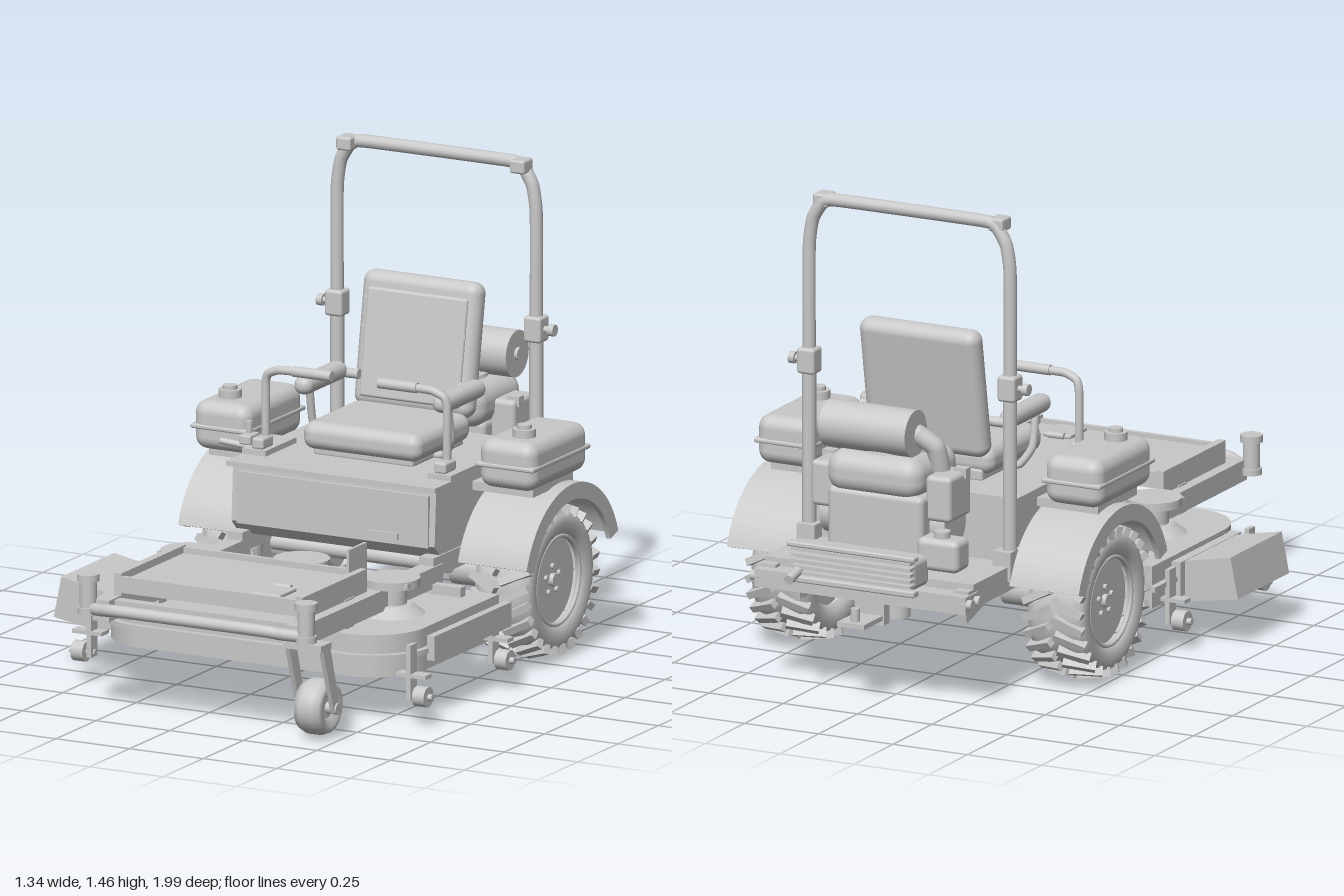
import * as THREE from 'three';
import { mergeGeometries } from 'three/addons/utils/BufferGeometryUtils.js';
import { RoundedBoxGeometry } from 'three/addons/geometries/RoundedBoxGeometry.js';

const grey = new THREE.MeshStandardMaterial({ color: 0xc8c8c8, side: THREE.DoubleSide });
grey.name = 'plain grey';

export function createModel() {
  const root = new THREE.Group();
  root.name = 'ridingMower';
  const V = (p) => new THREE.Vector3(...p);

  // ---- helpers ----
  const add = (name, geo, pos = [0, 0, 0], rot = [0, 0, 0], parent = root) => {
    const m = new THREE.Mesh(geo, grey);
    m.name = name;
    m.position.set(...pos);
    m.rotation.set(...rot);
    parent.add(m);
    return m;
  };
  // box given by min/max ranges; r > 0 rounds it
  const box = (name, [x0, x1], [y0, y1], [z0, z1], r = 0, rot) => {
    const s = [Math.abs(x1 - x0), y1 - y0, Math.abs(z1 - z0)];
    const g = r ? new RoundedBoxGeometry(...s, 4, r) : new THREE.BoxGeometry(...s);
    return add(name, g, [(x0 + x1) / 2, (y0 + y1) / 2, (z0 + z1) / 2], rot);
  };
  // cylinder between two points
  const rod = (name, a, b, r, r2 = r, seg = 24) => {
    const A = V(a), B = V(b), d = B.clone().sub(A);
    const m = add(name, new THREE.CylinderGeometry(r2, r, d.length(), seg), A.clone().lerp(B, 0.5).toArray());
    m.quaternion.setFromUnitVectors(new THREE.Vector3(0, 1, 0), d.normalize());
    return m;
  };
  // bent pipe with rounded ends
  const pipe = (name, pts, r) => {
    const c = new THREE.CatmullRomCurve3(pts.map(V), false, 'catmullrom', 0.25);
    add(name, new THREE.TubeGeometry(c, pts.length * 10, r, 14));
    for (const p of [pts[0], pts[pts.length - 1]]) add(name + 'End', new THREE.SphereGeometry(r, 14, 10), p);
  };
  // side profile of [z, y] points extruded from x0 to x1
  const profile = (name, shape, x0, x1, pos = [0, 0]) => {
    const sh = Array.isArray(shape) ? new THREE.Shape(shape.map((p) => new THREE.Vector2(...p))) : shape;
    const g = new THREE.ExtrudeGeometry(sh, { depth: x1 - x0, bevelEnabled: false, curveSegments: 32 });
    g.rotateY(-Math.PI / 2);
    add(name, g, [x1, pos[1], pos[0]]);
  };
  const both = (fn) => [-1, 1].forEach(fn);

  // ---- drive wheels and fenders ----
  const arc = (R, r, a) => {
    const s = new THREE.Shape();
    s.absarc(0, 0, R, a, Math.PI - a, false);
    s.absarc(0, 0, r, Math.PI - a, a, true);
    return s;
  };
  const tyre = [[0.13, -0.07], [0.145, -0.088], [0.175, -0.098], [0.203, -0.09], [0.218, -0.06],
    [0.218, 0.06], [0.203, 0.09], [0.175, 0.098], [0.145, 0.088], [0.13, 0.07]];
  const lugs = [];
  for (let i = 0; i < 26; i++) for (const s of [-1, 1]) {
    const g = new THREE.BoxGeometry(0.1, 0.03, 0.022);
    g.rotateZ(-s * 0.16).rotateY(s * 0.45).translate(s * 0.052, 0.218, 0);
    lugs.push(g.rotateX(((i + (s > 0 ? 0.5 : 0)) / 26) * Math.PI * 2));
  }
  const lugGeo = mergeGeometries(lugs);
  both((s) => {
    const w = new THREE.Group();
    w.name = 'driveWheel';
    w.position.set(s * 0.465, 0.235, -0.313);
    root.add(w);
    const z90 = [0, 0, Math.PI / 2];
    add('tyre', new THREE.LatheGeometry(tyre.map((p) => new THREE.Vector2(...p)), 48), [0, 0, 0], z90, w);
    add('treadLugs', lugGeo, [0, 0, 0], [0, 0, 0], w);
    add('rim', new THREE.CylinderGeometry(0.135, 0.135, 0.12, 40), [0, 0, 0], z90, w);
    add('rimRing', new THREE.TorusGeometry(0.135, 0.007, 8, 40), [s * 0.08, 0, 0], [0, Math.PI / 2, 0], w);
    add('hub', new THREE.CylinderGeometry(0.02, 0.02, 0.15, 20), [0, 0, 0], z90, w);
    for (let i = 0; i < 5; i++) {
      const a = (i / 5) * Math.PI * 2;
      add('wheelBolt', new THREE.CylinderGeometry(0.009, 0.009, 0.14, 8), [0, 0.042 * Math.cos(a), 0.042 * Math.sin(a)], z90, w);
    }
    const x = s * 0.475;
    profile('fender', arc(0.3, 0.285, 0.32), x - 0.117, x + 0.117, [-0.32, 0.235]);
    profile('fenderLip', arc(0.3, 0.25, 0.32), s * 0.584 - 0.008, s * 0.584 + 0.008, [-0.32, 0.235]);
    rod('wheelMotor', [s * 0.2, 0.235, -0.313], [s * 0.4, 0.235, -0.313], 0.05);

    // fuel tank
    box('fuelTank', [s * 0.388, s * 0.58], [0.55, 0.7], [-0.45, -0.095], 0.04);
    box('tankSeam', [s * 0.385, s * 0.583], [0.615, 0.63], [-0.453, -0.092], 0.006);
    rod('tankCap', [s * 0.5, 0.69, -0.19], [s * 0.5, 0.725, -0.19], 0.035);
    rod('tankCapTop', [s * 0.5, 0.72, -0.19], [s * 0.5, 0.737, -0.19], 0.022);
    box('tankBracket', [s * 0.33, s * 0.55], [0.525, 0.552], [-0.4, -0.15]);
  });

  // ---- tractor body ----
  profile('body', [[0.075, 0.575], [0.085, 0.4], [0.04, 0.355], [-0.55, 0.355], [-0.55, 0.575]], -0.345, 0.345);
  box('bodyTop', [-0.355, 0.355], [0.57, 0.585], [-0.55, 0.1]);
  box('frontPanel', [-0.325, 0.325], [0.395, 0.555], [0.07, 0.089]);
  box('panelHandle', [0.125, 0.225], [0.41, 0.43], [0.085, 0.098]);
  rod('crossAxle', [-0.3, 0.3, -0.1], [0.3, 0.3, -0.1], 0.025);
  both((s) => {
    box('mainRail', [s * 0.3, s * 0.35], [0.31, 0.37], [-0.85, 0.1]);
    box('leverBase', [s * 0.275, s * 0.355], [0.585, 0.602], [-0.19, 0.0]);
    box('leverPivot', [s * 0.29, s * 0.33], [0.6, 0.635], [-0.08, -0.01], 0.008);
    // steering lever
    pipe('steeringLever', [[s * 0.308, 0.61, -0.06], [s * 0.308, 0.79, -0.06], [s * 0.298, 0.825, -0.058],
      [s * 0.26, 0.841, -0.055], [s * 0.19, 0.843, -0.055]], 0.013);
    rod('leverGrip', [s * 0.21, 0.843, -0.055], [s * 0.08, 0.843, -0.055], 0.016);
    // armrest
    box('armrest', [s * 0.205, s * 0.265], [0.745, 0.802], [-0.395, -0.14], 0.027);
    pipe('armrestSupport', [[s * 0.235, 0.75, -0.2], [s * 0.235, 0.65, -0.22], [s * 0.2, 0.595, -0.24], [s * 0.12, 0.59, -0.24]], 0.012);
    rod('armrestHinge', [s * 0.17, 0.765, -0.39], [s * 0.25, 0.765, -0.39], 0.015);
  });
  // small control cluster beside the seat
  rod('parkLever', [-0.34, 0.59, -0.06], [-0.45, 0.605, -0.04], 0.01);
  box('controlBox', [-0.39, -0.35], [0.6, 0.63], [-0.1, -0.04], 0.006);
  rod('controlKnob', [-0.375, 0.62, -0.08], [-0.375, 0.665, -0.08], 0.01);

  // ---- seat ----
  box('seatCushion', [-0.2, 0.2], [0.6, 0.685], [-0.42, -0.075], 0.035);
  box('seatBase', [-0.17, 0.17], [0.58, 0.62], [-0.42, -0.1], 0.01);
  const back = new THREE.Group();
  back.name = 'seatBack';
  back.position.set(0, 0.865, -0.457);
  back.rotation.x = -0.17;
  root.add(back);
  add('backCushion', new RoundedBoxGeometry(0.4, 0.41, 0.075, 4, 0.035), [0, 0, 0], [0, 0, 0], back);
  add('backPad', new RoundedBoxGeometry(0.34, 0.33, 0.02, 3, 0.009), [0, -0.01, 0.036], [0, 0, 0], back);
  for (const y of [0.125, 0.04]) add('backSeam', new THREE.BoxGeometry(0.35, 0.006, 0.006), [0, y, 0.046], [0, 0, 0], back);

  // ---- roll bar ----
  pipe('rollBar', [[-0.338, 0.95, -0.56], [-0.338, 1.28, -0.56], [-0.325, 1.37, -0.56], [-0.29, 1.425, -0.56], [-0.24, 1.435, -0.56],
    [0.24, 1.435, -0.56], [0.29, 1.425, -0.56], [0.325, 1.37, -0.56], [0.338, 1.28, -0.56], [0.338, 0.95, -0.56]], 0.02);
  both((s) => {
    rod('rollBarPost', [s * 0.338, 0.34, -0.56], [s * 0.338, 0.95, -0.56], 0.021);
    box('rollBarHinge', [s * 0.308, s * 0.367], [0.89, 0.97], [-0.59, -0.53], 0.01);
    rod('hingePin', [s * 0.36, 0.93, -0.56], [s * 0.385, 0.93, -0.56], 0.01);
    rod('hingeKnob', [s * 0.383, 0.93, -0.56], [s * 0.402, 0.93, -0.56], 0.018);
    box('rollBarClamp', [s * 0.27, s * 0.32], [1.408, 1.45], [-0.575, -0.515], 0.008);
    box('postFoot', [s * 0.3, s * 0.36], [0.34, 0.43], [-0.6, -0.52]);
  });

  // ---- engine and rear frame ----
  box('engineBed', [-0.35, 0.35], [0.36, 0.385], [-0.82, -0.54]);
  box('engineBlock', [-0.16, 0.16], [0.385, 0.62], [-0.79, -0.56], 0.02);
  box('engineShroud', [-0.15, 0.17], [0.6, 0.73], [-0.8, -0.51], 0.055);
  rod('fanHousing', [0, 0.7, -0.65], [0, 0.74, -0.65], 0.12, 0.11, 32);
  rod('muffler', [-0.105, 0.797, -0.722], [0.185, 0.797, -0.722], 0.072, 0.072, 32);
  rod('mufflerOutlet', [0.18, 0.797, -0.722], [0.195, 0.797, -0.722], 0.02);
  pipe('intakePipe', [[-0.1, 0.79, -0.7], [-0.15, 0.75, -0.68], [-0.16, 0.66, -0.66]], 0.03);
  both((s) => {
    box('valveCover', [s * 0.15, s * 0.235], [0.54, 0.68], [-0.75, -0.61], 0.015);
    rod('cylinderHead', [s * 0.1, 0.515, -0.67], [s * 0.21, 0.515, -0.67], 0.07);
    box('coverBolt', [s * 0.2, s * 0.242], [0.66, 0.69], [-0.66, -0.63]);
    profile('hitchArm', [[-0.5, 0.36], [-0.5, 0.31], [-0.75, 0.24], [-0.76, 0.3], [-0.58, 0.36]], s * 0.28 - 0.012, s * 0.28 + 0.012);
    for (const z of [-0.815, -0.865]) rod('bumperBolt', [s * 0.34, 0.335, z], [s * 0.372, 0.335, z], 0.016, 0.016, 12);
  });
  box('oilTank', [-0.3, -0.16], [0.41, 0.51], [-0.83, -0.74], 0.02);
  rod('oilCap', [-0.23, 0.5, -0.79], [-0.23, 0.53, -0.79], 0.025);
  rod('drain', [0, 0.2, -0.64], [0, 0.37, -0.64], 0.04);
  box('rearBumper', [-0.355, 0.355], [0.305, 0.36], [-0.88, -0.8]);
  box('coolerHousing', [-0.2, 0.2], [0.365, 0.46], [-0.92, -0.81], 0.02);
  box('coolerFrame', [-0.215, 0.215], [0.355, 0.375], [-0.945, -0.91], 0.006);
  for (let i = 0; i < 5; i++) box('coolerSlat', [-0.2, 0.2], [0.38 + i * 0.018, 0.389 + i * 0.018], [-0.94, -0.91]);
  box('coolerTop', [-0.215, 0.215], [0.463, 0.48], [-0.945, -0.91], 0.006);
  rod('exhaustTip', [0.18, 0.39, -0.93], [0.18, 0.375, -0.995], 0.015);
  box('hitchPlate', [-0.05, 0.05], [0.22, 0.36], [-0.82, -0.785]);
  box('hitchTab', [-0.045, 0.045], [0.235, 0.25], [-0.94, -0.8]);
  rod('hitchPin', [0, 0.23, -0.91], [0, 0.29, -0.91], 0.014);

  // ---- mower deck: open below, round front corners ----
  const outline = (C, g) => {
    const s = new C(), w = 0.52 + g, f = 0.64 + g, b = 0.005 - g, r = 0.17 + g;
    s.moveTo(-w, b);
    s.lineTo(w, b);
    s.lineTo(w, f - r);
    s.absarc(w - r, f - r, r, 0, Math.PI / 2, false);
    s.absarc(r - w, f - r, r, Math.PI / 2, Math.PI, false);
    s.closePath();
    return s;
  };
  const slab = (name, out, inn, top, h) => {
    const s = outline(THREE.Shape, out);
    if (inn !== null) s.holes.push(outline(THREE.Path, inn));
    add(name, new THREE.ExtrudeGeometry(s, { depth: h, bevelEnabled: false, curveSegments: 16 }).rotateX(Math.PI / 2), [0, top, 0]);
  };
  slab('deckTop', 0, null, 0.26, 0.012);
  slab('deckWall', 0, -0.012, 0.25, 0.12);
  slab('deckBand', 0.02, -0.005, 0.202, 0.016);
  // discharge chute
  box('chuteTop', [-0.705, -0.515], [0.245, 0.255], [0.16, 0.49], 0, [0, 0, -0.19]);
  box('chuteOuter', [-0.715, -0.705], [0.145, 0.27], [0.16, 0.49], 0, [0, 0, -0.2]);
  for (const z of [0.16, 0.482]) {
    const s = new THREE.Shape([[-0.695, 0.268], [-0.722, 0.145], [-0.545, 0.118], [-0.52, 0.235]].map((p) => new THREE.Vector2(...p)));
    add('chuteSide', new THREE.ExtrudeGeometry(s, { depth: 0.008, bevelEnabled: false }), [0, 0, z]);
  }
  box('chuteMount', [-0.55, -0.51], [0.14, 0.245], [0.13, 0.52]);
  box('deckSidePlate', [0.535, 0.56], [0.165, 0.24], [0.0, 0.48]);
  // spindles, covers and tie bars
  for (const [x, z] of [[-0.345, 0.35], [0, 0.28], [0.345, 0.35]]) {
    rod('spindle', [x, 0.26, z], [x, 0.36, z], 0.045);
    rod('spindleBase', [x, 0.26, z], [x, 0.29, z], 0.1, 0.06);
    rod('pulleyCover', [x, 0.345, z], [x, 0.37, z], 0.085, 0.085, 32);
    if (x) {
      box('coverTab', [x - 0.08, x + 0.08], [0.35, 0.366], [0.35, 0.4]);
      rod('tieBar', [x * 0.9, 0.32, z], [x * 0.2, 0.32, 0.285], 0.012);
    }
  }
  box('spindleBrace', [-0.3, 0.3], [0.3, 0.325], [0.36, 0.385]);
  box('rearCrossBar', [-0.45, 0.45], [0.265, 0.295], [0.085, 0.115]);
  rod('driveRod', [0.04, 0.3, 0.1], [0.04, 0.3, 0.28], 0.012);
  // anti-scalp rollers
  both((s) => [0.08, 0.59].forEach((z) => {
    rod('roller', [s * 0.56, 0.083, z], [s * 0.6, 0.083, z], 0.031);
    rod('rollerAxle', [s * 0.53, 0.083, z], [s * 0.615, 0.083, z], 0.01);
    box('rollerHanger', [s * 0.535, s * 0.55], [0.07, 0.24], [z - 0.02, z + 0.02]);
    box('rollerBracket', [s * 0.5, s * 0.6], [0.14, 0.152], [z - 0.02, z + 0.02]);
  }));

  // ---- front frame, foot tray and bumper ----
  both((s) => {
    box('frontBeam', [s * 0.3, s * 0.355], [0.28, 0.345], [0.05, 0.93]);
    box('deckHanger', [s * 0.31, s * 0.325], [0.25, 0.35], [0.55, 0.6]);
    box('trayRim', [s * 0.295, s * 0.32], [0.345, 0.415], [0.46, 0.86]);
    rod('casterPost', [s * 0.37, 0.3, 0.93], [s * 0.37, 0.405, 0.93], 0.026);
    rod('casterCap', [s * 0.37, 0.4, 0.93], [s * 0.37, 0.422, 0.93], 0.034);
    rod('casterCollar', [s * 0.37, 0.3, 0.93], [s * 0.37, 0.32, 0.93], 0.032);
  });
  box('footTray', [-0.31, 0.31], [0.375, 0.392], [0.46, 0.86]);
  box('trayRearRim', [-0.31, 0.31], [0.36, 0.41], [0.46, 0.475]);
  box('trayFrontRim', [-0.31, 0.31], [0.355, 0.405], [0.845, 0.86]);
  box('frontCrossBar', [-0.33, 0.33], [0.29, 0.34], [0.86, 0.895]);
  box('pedalPad', [0.13, 0.225], [0.392, 0.404], [0.72, 0.83], 0.004);
  rod('pedalPivot', [0.15, 0.4, 0.72], [0.205, 0.4, 0.72], 0.01);
  box('guardPlate', [0.288, 0.298], [0.36, 0.485], [0.42, 0.53]);
  pipe('frontBumper', [[-0.36, 0.315, 0.93], [-0.3, 0.323, 0.96], [-0.24, 0.33, 0.976],
    [0.24, 0.33, 0.976], [0.3, 0.323, 0.96], [0.36, 0.315, 0.93]], 0.019);

  // ---- front caster wheel ----
  const caster = [[0.03, -0.03], [0.055, -0.047], [0.075, -0.042], [0.085, -0.02], [0.085, 0.02], [0.075, 0.042], [0.055, 0.047], [0.03, 0.03]];
  add('casterTyre', new THREE.LatheGeometry(caster.map((p) => new THREE.Vector2(...p)), 32), [0.37, 0.087, 0.855], [0, 0, Math.PI / 2]);
  rod('casterHub', [0.3, 0.087, 0.855], [0.44, 0.087, 0.855], 0.018);
  rod('casterHubCore', [0.338, 0.087, 0.855], [0.402, 0.087, 0.855], 0.032);
  box('forkCrown', [0.305, 0.435], [0.28, 0.3], [0.89, 0.955]);
  both((s) => profile('forkArm', [[0.945, 0.29], [0.9, 0.29], [0.835, 0.08], [0.872, 0.075]], 0.37 + s * 0.058 - 0.007, 0.37 + s * 0.058 + 0.007));

  root.position.x = 0.055;
  const model = new THREE.Group();
  model.name = 'mower';
  model.add(root);
  return model;
}
